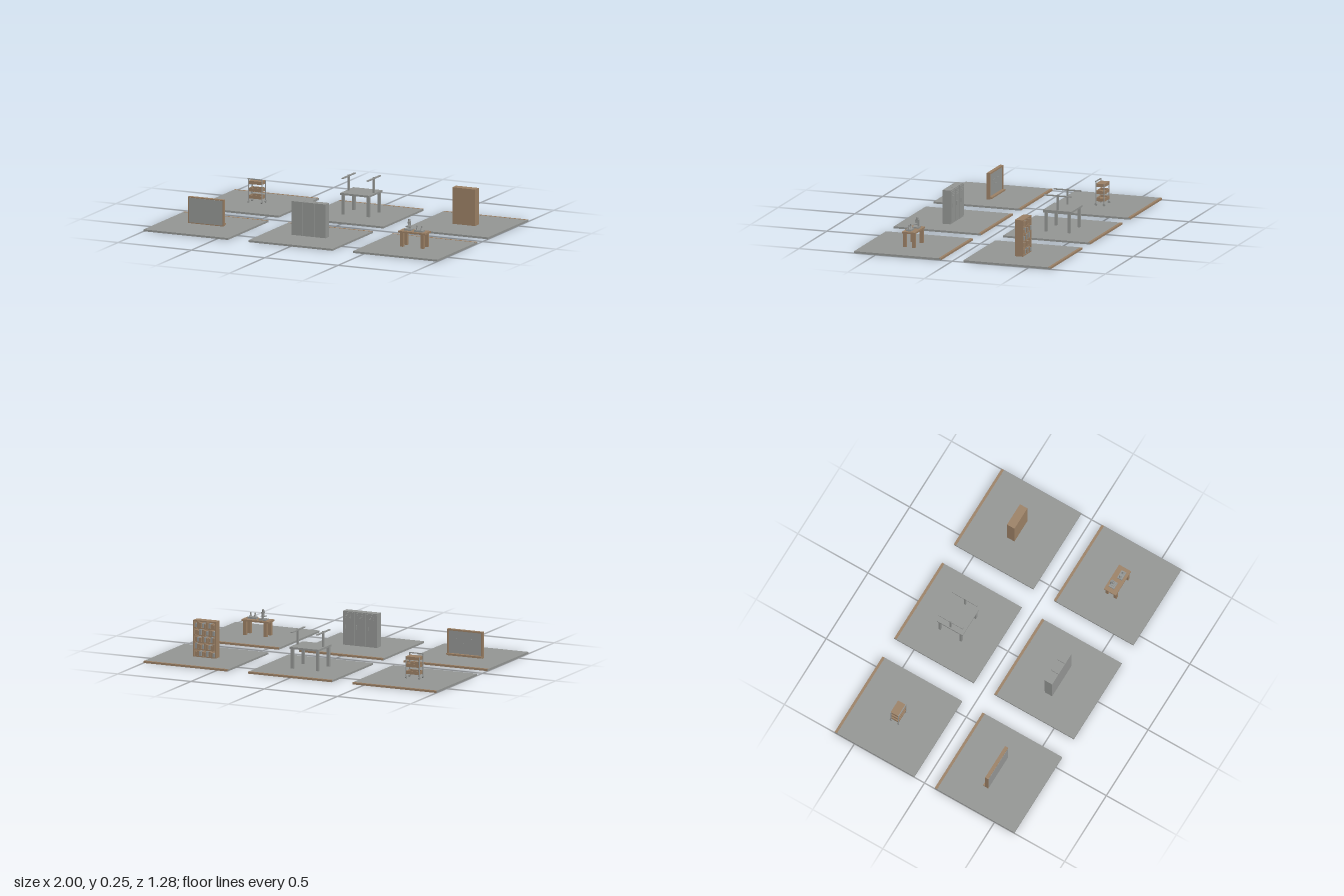
import * as THREE from 'three';

export function createModel() {
  const root = new THREE.Group();
  const mat = (name, color) => {
    const m = new THREE.MeshStandardMaterial({ color });
    m.name = name;
    return m;
  };
  const grey = mat('grey', 0x939593);
  const wood = mat('wood', 0x9b8065);
  const F = 0.012; // floor height

  const group = (name) => {
    const g = new THREE.Group();
    g.name = name;
    root.add(g);
    return g;
  };
  // box from its limits
  const box = (g, name, m, x0, x1, y0, y1, z0, z1) => {
    const mesh = new THREE.Mesh(new THREE.BoxGeometry(x1 - x0, y1 - y0, z1 - z0), m);
    mesh.position.set((x0 + x1) / 2, (y0 + y1) / 2, (z0 + z1) / 2);
    mesh.name = name;
    g.add(mesh);
    return mesh;
  };
  // upright cylinder standing at y0
  const cyl = (g, name, m, r, x, y0, y1, z, rTop = r) => {
    const mesh = new THREE.Mesh(new THREE.CylinderGeometry(rTop, r, y1 - y0, 14), m);
    mesh.position.set(x, (y0 + y1) / 2, z);
    mesh.name = name;
    g.add(mesh);
    return mesh;
  };

  // six floor tiles, each with a wooden strip along the back edge
  const floors = group('floorTiles');
  for (const x of [-0.713, 0, 0.713]) {
    for (const z of [-0.357, 0.357]) {
      box(floors, 'floor', grey, x - 0.287, x + 0.287, 0, F, z - 0.284, z + 0.284);
      box(floors, 'backStrip', wood, x - 0.2865, x + 0.2865, 0.0005, F + 0.0005, z - 0.2845, z - 0.268);
    }
  }

  // framed board with a tray, facing back
  const board = group('board');
  box(board, 'panel', grey, -0.829, -0.601, 0.018, 0.172, 0.341, 0.358);
  for (const [a, b] of [[-0.835, -0.826], [-0.604, -0.595]])
    box(board, 'sideFrame', wood, a, b, F, 0.178, 0.334, 0.356);
  for (const [a, b] of [[F, 0.022], [0.169, 0.178]])
    box(board, 'crossFrame', wood, -0.835, -0.595, a, b, 0.334, 0.356);
  box(board, 'tray', wood, -0.835, -0.595, 0.018, 0.027, 0.32, 0.341);
  for (const [x, y, w] of [[-0.76, 0.12, 0.05], [-0.67, 0.12, 0.04], [-0.71, 0.09, 0.03]])
    box(board, 'mark', grey, x - w / 2, x + w / 2, y, y + 0.003, 0.339, 0.341);

  // three lockers, doors facing back
  const lockers = group('lockers');
  for (const x of [-0.0795, -0.001, 0.0775]) {
    box(lockers, 'lockerBody', grey, x - 0.038, x + 0.038, F, 0.224, 0.333, 0.385);
    box(lockers, 'lockerDoor', grey, x - 0.034, x + 0.034, 0.022, 0.218, 0.329, 0.333);
    for (let i = 0; i < 3; i++)
      box(lockers, 'vent', grey, x - 0.018, x + 0.018, 0.182 + i * 0.01, 0.186 + i * 0.01, 0.326, 0.329);
    box(lockers, 'handle', grey, x + 0.019, x + 0.025, 0.115, 0.14, 0.324, 0.329);
  }

  // small wooden table
  const table = group('table');
  box(table, 'tableTop', wood, 0.617, 0.801, 0.099, 0.11, 0.316, 0.401);
  for (const x of [0.63, 0.77])
    for (const z of [0.319, 0.378])
      box(table, 'tableLeg', wood, x, x + 0.02, F, 0.099, z, z + 0.02);

  // microscope
  const scope = group('microscope');
  box(scope, 'base', grey, 0.645, 0.691, 0.11, 0.119, 0.333, 0.372);
  box(scope, 'arm', grey, 0.662, 0.674, 0.119, 0.16, 0.335, 0.345);
  box(scope, 'stage', grey, 0.653, 0.683, 0.132, 0.137, 0.342, 0.368);
  box(scope, 'head', grey, 0.661, 0.675, 0.153, 0.163, 0.335, 0.36);
  const eyepiece = cyl(scope, 'eyepiece', grey, 0.007, 0.668, 0.14, 0.178, 0.35);
  eyepiece.rotation.x = -0.2;

  // rack with small flasks
  const rack = group('flaskRack');
  box(rack, 'rackBase', grey, 0.719, 0.775, 0.11, 0.121, 0.35, 0.383);
  for (const x of [0.732, 0.762]) {
    cyl(rack, 'flask', grey, 0.009, x, 0.121, 0.136, 0.367, 0.005);
    cyl(rack, 'flaskNeck', grey, 0.005, x, 0.136, 0.147, 0.367);
  }

  // rolling cart with three trays
  const cart = group('cart');
  for (const y of [0.04, 0.085, 0.13]) {
    box(cart, 'tray', wood, -0.756, -0.667, y, y + 0.008, -0.387, -0.33);
    for (const z of [-0.387, -0.334])
      box(cart, 'trayLip', wood, -0.756, -0.667, y, y + 0.02, z, z + 0.004);
    for (const x of [-0.756, -0.671])
      box(cart, 'trayEnd', wood, x, x + 0.004, y, y + 0.02, -0.387, -0.33);
  }
  box(cart, 'cartCover', wood, -0.755, -0.668, 0.145, 0.15, -0.386, -0.331);
  for (const x of [-0.757, -0.666]) {
    for (const z of [-0.384, -0.331]) {
      cyl(cart, 'post', grey, 0.0035, x, 0.024, z > -0.35 ? 0.165 : 0.15, z);
      const wheel = cyl(cart, 'wheel', grey, 0.008, x, F + 0.004, F + 0.012, z);
      wheel.rotation.z = Math.PI / 2;
    }
  }
  box(cart, 'pushRail', grey, -0.76, -0.663, 0.16, 0.166, -0.332, -0.326);

  // workbench with two raised rails
  const bench = group('workbench');
  box(bench, 'benchTop', grey, -0.1, 0.098, 0.137, 0.149, -0.449, -0.265);
  for (const s of [-1, 1]) {
    const x = s * 0.086 - 0.001;
    for (const z of [-0.282, -0.432])
      box(bench, 'benchLeg', grey, x - 0.009, x + 0.009, F, 0.137, z - 0.008, z + 0.008);
    box(bench, 'railPost', grey, x - 0.005, x + 0.005, 0.149, 0.247, -0.363, -0.351);
    box(bench, 'rail', grey, x - 0.006, x + 0.006, 0.236, 0.243, -0.446, -0.267);
  }

  // bookcase, open to the back
  const shelf = group('bookcase');
  box(shelf, 'backPanel', wood, 0.632, 0.787, F, 0.241, -0.338, -0.331);
  for (const x of [0.632, 0.78])
    box(shelf, 'sidePanel', wood, x, x + 0.007, F, 0.241, -0.384, -0.338);
  for (let i = 0; i <= 5; i++) {
    const y = F + i * 0.0444;
    box(shelf, 'shelf', wood, 0.639, 0.78, y, y + 0.007, -0.384, -0.338);
    if (i === 5) break;
    for (let k = 0; k < 9; k++) {
      const h = 0.024 + ((k * 5 + i * 3) % 4) * 0.003;
      const x = 0.642 + k * 0.0152;
      box(shelf, 'book', (k + i) % 3 ? wood : grey, x, x + 0.012, y + 0.007, y + 0.007 + h, -0.386 + (k % 3) * 0.003, -0.345);
    }
  }
  return root;
}
